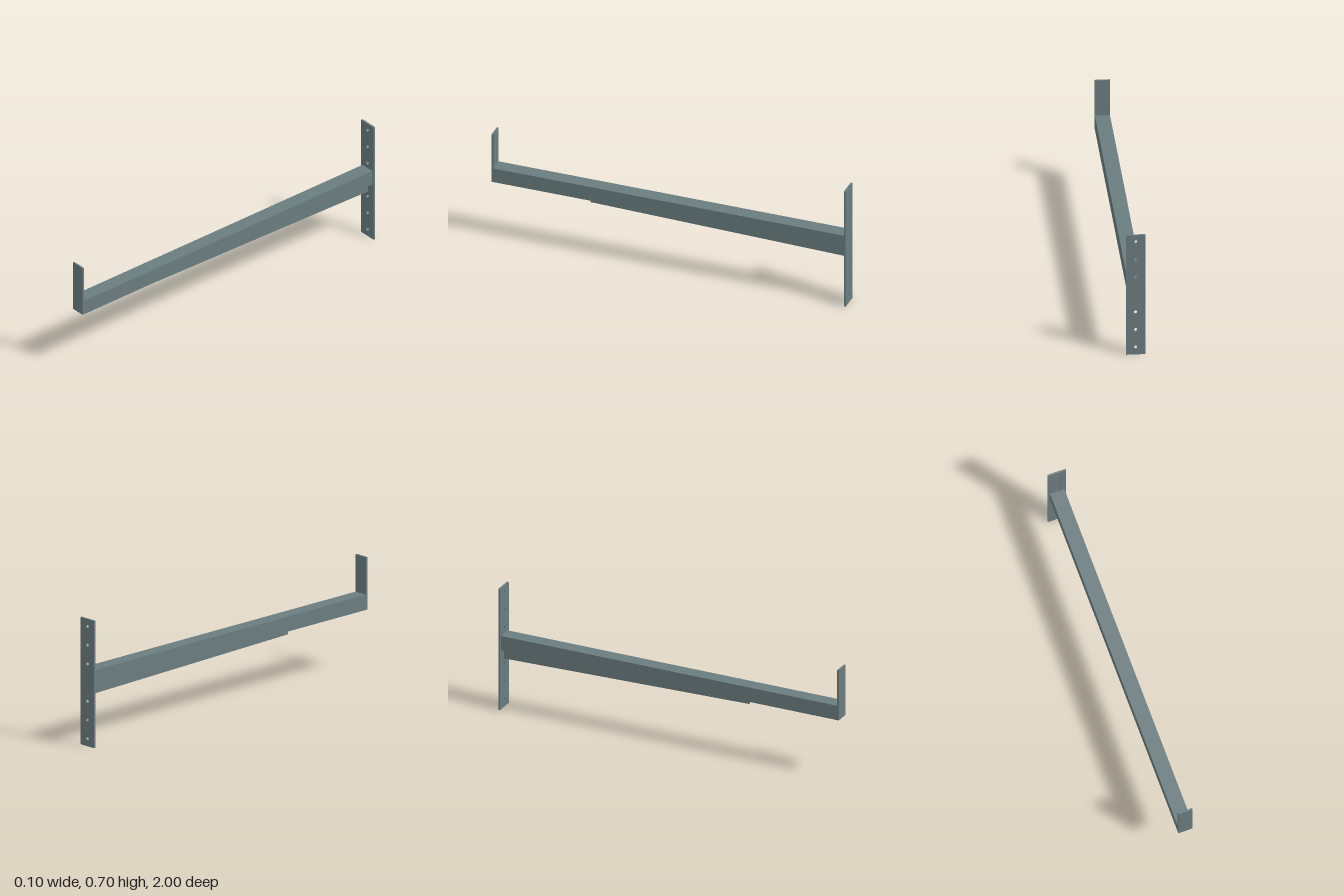
import * as THREE from 'three';

const T = 0.01; // plate thickness

export function createModel() {
  const model = new THREE.Group();
  const steel = new THREE.MeshStandardMaterial({ color: 0x6b7d80 });
  steel.name = 'greySteel';

  const add = (name, geometry, x = 0, y = 0, z = 0) => {
    const mesh = new THREE.Mesh(geometry, steel);
    mesh.name = name;
    mesh.position.set(x, y, z);
    model.add(mesh);
  };

  // Wall plate with three bolt holes above and three below the arm
  const plate = new THREE.Shape();
  plate.moveTo(-0.051, 0).lineTo(0.051, 0).lineTo(0.051, 0.7).lineTo(-0.051, 0.7).closePath();
  for (const offset of [0.103, 0.206, 0.309]) {
    for (const side of [-1, 1]) {
      const hole = new THREE.Path();
      hole.absarc(0, 0.351 + side * offset, 0.0095, 0, Math.PI * 2, true);
      plate.holes.push(hole);
    }
  }
  add('wallPlate', new THREE.ExtrudeGeometry(plate, { depth: T, bevelEnabled: false, curveSegments: 16 }), 0, 0, -1);

  // Horizontal arm
  const bottom = 0.341, top = 0.424;
  add('arm', new THREE.BoxGeometry(0.08, top - bottom, 2 - 2 * T), 0, (top + bottom) / 2, 0);

  // Upright stop at the free end
  add('endStop', new THREE.BoxGeometry(0.08, 0.63 - bottom, T), 0, (0.63 + bottom) / 2, 1 - T / 2);

  // Tapered stiffening rib under the arm, drawn as (-z, y) and turned to run along z
  const rib = new THREE.Shape();
  rib.moveTo(-0.455, bottom).lineTo(-0.455, 0.311).lineTo(1 - T, 0.28).lineTo(1 - T, bottom).closePath();
  const ribGeometry = new THREE.ExtrudeGeometry(rib, { depth: T, bevelEnabled: false });
  ribGeometry.translate(0, 0, -T / 2).rotateY(Math.PI / 2);
  add('supportRib', ribGeometry);

  return model;
}
